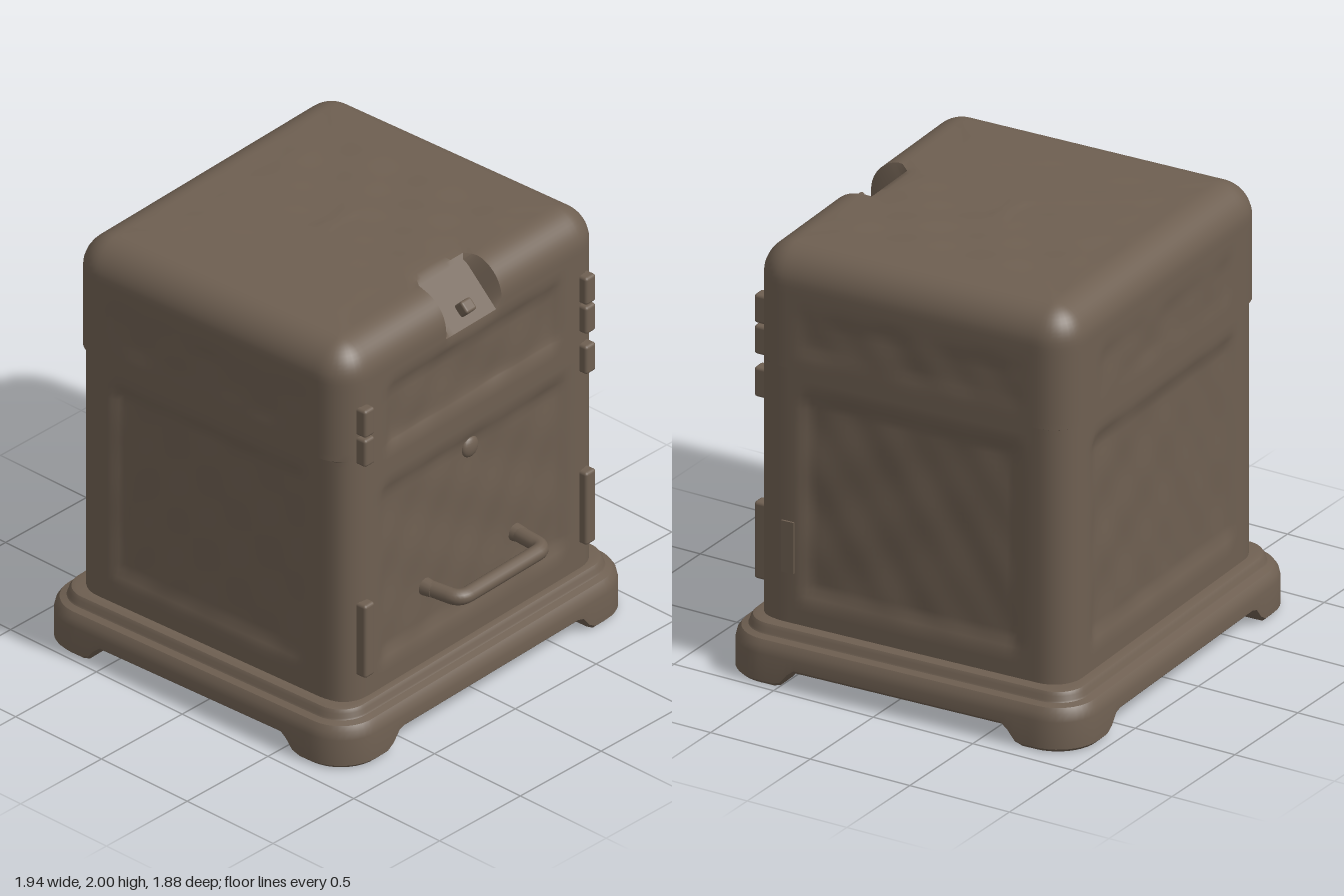
import * as THREE from 'three';
import { toCreasedNormals } from 'three/addons/utils/BufferGeometryUtils.js';
import { RoundedBoxGeometry } from 'three/addons/geometries/RoundedBoxGeometry.js';

const step = THREE.MathUtils.smoothstep;

// points and outward normals around a rounded rectangle, starting at the +x side
function outline(hx, hz, r, flat, arc) {
  const pts = [];
  const corners = [[1, 1], [-1, 1], [-1, -1], [1, -1]];
  corners.forEach(([sx, sz], k) => {
    const cx = sx * (hx - r), cz = sz * (hz - r);
    for (let i = 0; i <= arc; i++) {
      const a = (k + i / arc) * Math.PI / 2;
      const nx = Math.cos(a), nz = Math.sin(a);
      pts.push({ x: cx + r * nx, z: cz + r * nz, nx, nz });
    }
    const a = pts[pts.length - 1];
    const [tx, tz] = corners[(k + 1) % 4];
    const ex = tx * (hx - r) + r * a.nx, ez = tz * (hz - r) + r * a.nz;
    for (let i = 1; i < flat; i++) {
      const t = i / flat;
      pts.push({ x: a.x + (ex - a.x) * t, z: a.z + (ez - a.z) * t, nx: a.nx, nz: a.nz });
    }
  });
  return pts;
}

// skin rings of [inset, y]; place() may move each point
function loft(rings, hx, hz, r, flat, arc, place, capBottom) {
  const pos = [], idx = [];
  let n = 0;
  rings.forEach(([inset, y], k) => {
    const pts = outline(hx - inset, hz - inset, Math.max(r - inset, 0.02), flat, arc);
    n = pts.length;
    for (const p of pts) pos.push(...place(p, y, k));
  });
  for (let i = 0; i < rings.length - 1; i++) {
    for (let j = 0; j < n; j++) {
      const a = i * n + j, b = i * n + (j + 1) % n;
      idx.push(a, a + n, b, b, a + n, b + n);
    }
  }
  const top = (rings.length - 1) * n, c = rings.length * n;
  pos.push(0, rings[rings.length - 1][1], 0, 0, rings[0][1], 0);
  for (let j = 0; j < n; j++) {
    const m = (j + 1) % n;
    idx.push(c, top + m, top + j);
    if (capBottom) idx.push(c + 1, j, m);
  }
  const g = new THREE.BufferGeometry();
  g.setAttribute('position', new THREE.Float32BufferAttribute(pos, 3));
  g.setIndex(idx);
  return toCreasedNormals(g, 0.6);
}

// soft-edged rectangle mask
function panel(u, v, hu, v0, v1) {
  const e = 0.07;
  return step(hu - Math.abs(u), 0, e) * step(v - v0, 0, e) * step(v1 - v, 0, e);
}

// hammered unevenness
function dents(u, v) {
  return 0.5 * (Math.sin(u * 13 + v * 5) * Math.sin(v * 11 - u * 4) + Math.sin(u * 7 - v * 17 + 1) * Math.sin(u * 19 + 2));
}

export function createModel() {
  const iron = new THREE.MeshStandardMaterial({ color: 0x6e5f51 });
  iron.name = 'dark brown iron';
  const model = new THREE.Group();
  model.name = 'ironStove';
  const add = (name, geo, x = 0, y = 0, z = 0) => {
    const m = new THREE.Mesh(geo, iron);
    m.name = name;
    m.position.set(x, y, z);
    model.add(m);
    return m;
  };

  // base plinth with corner feet and arched gaps between them
  const HX = 0.945, HZ = 0.875;
  const baseRings = [[0.12, 0.08], [0.12, 0], [0.015, 0], [0, 0.015], [0, 0.14], [0.008, 0.175], [0.025, 0.198], [0.055, 0.208],
    [0.06, 0.215], [0.064, 0.235], [0.075, 0.25], [0.095, 0.256], [0.2, 0.256]];
  add('base', loft(baseRings, HX, HZ, 0.2, 40, 10, (p, y, k) => {
    const d = Math.max(HX - Math.abs(p.x), HZ - Math.abs(p.z));
    const lift = k > 0 && k < 4 ? 0.08 * step(d, 0.28, 0.37) : 0;
    return [p.x, y + lift, p.z];
  }, true));

  // body: straight walls, rounded shoulder, flat top
  const rings = [];
  for (let i = 0; i <= 34; i++) rings.push([0, 0.25 + 1.19 * i / 34]);
  rings.push([0, 1.445], [0, 1.452]);
  for (let i = 1; i <= 11; i++) rings.push([0, 1.452 + 0.378 * i / 11]);
  const R = 0.16;
  for (let i = 1; i <= 12; i++) {
    const a = i / 12 * Math.PI / 2;
    rings.push([R - R * Math.cos(a), 1.835 + R * Math.sin(a)]);
  }
  for (let i = 1; i <= 16; i++) rings.push([R + 0.58 * i / 16, 1.995 + 0.005 * Math.min(1, i / 4)]);
  add('body', loft(rings, 0.84, 0.775, 0.15, 46, 8, (p, y0) => {
    let { x, z } = p, y = y0, inset = 0;
    const front = p.nz > 0.9, back = p.nz < -0.9;
    const u = front || back ? x : z;
    if (y < 1.835 && (Math.abs(p.nx) > 0.99 || Math.abs(p.nz) > 0.99)) {
      // sunken wall panels
      const low = front ? panel(u, y, 0.62, 0.36, 1.27) : panel(u, y, back ? 0.62 : 0.56, 0.36, 1.36);
      const high = panel(u, y, 0.58, front ? 1.4 : 1.5, 1.76);
      inset += 0.02 * low + (front ? 0.02 : 0.005) * high;
      inset += 0.006 * (low + high) * dents(u + p.nx * 2, y + p.nz);
    }
    // lid overhangs the sides and back
    if (y < 1.448 && p.nz < 0.8) inset += 0.014 * step(0.8 - p.nz, 0, 0.6);
    if (y > 1.99) y -= 0.004 * (1 + dents(x, z)) * step(0.65 - Math.max(Math.abs(x), Math.abs(z)), 0, 0.15);
    x -= p.nx * inset;
    z -= p.nz * inset;
    // slanted pocket cut into the front top edge
    const s = z + y - 2.56;
    if (s > 0 && Math.abs(x) < 0.165) { z -= s / 2; y -= s / 2; }
    return [x, y, z];
  }, false));

  // catch in the pocket and boss on the door
  const catchBlock = add('lidCatch', new RoundedBoxGeometry(0.065, 0.06, 0.08, 2, 0.012), -0.005, 1.85, 0.725);
  catchBlock.rotation.x = -Math.PI / 4;
  add('doorBoss', new THREE.SphereGeometry(0.05, 20, 12), 0, 1.17, 0.75).scale.z = 0.5;

  // hinge blocks on the front corners
  const block = (side, y0, y1) => add('hinge', new RoundedBoxGeometry(0.065, y1 - y0, 0.1, 2, 0.014),
    side * 0.715, (y0 + y1) / 2, 0.765);
  for (const side of [-1, 1]) {
    block(side, 0.38, 0.74);
    block(side, 1.43, 1.565);
    block(side, 1.575, 1.71);
  }
  block(1, 1.23, 1.37);

  // thin wrap plate beside the lower hinge
  add('hingePlate', new THREE.BoxGeometry(0.02, 0.24, 0.06), 0.825, 0.61, 0.6);

  // door handle
  const path = new THREE.CurvePath();
  const v = (x, z) => new THREE.Vector3(x, 0, z);
  path.add(new THREE.LineCurve3(v(-0.295, 0.73), v(-0.28, 0.88)));
  path.add(new THREE.QuadraticBezierCurve3(v(-0.28, 0.88), v(-0.275, 0.935), v(-0.22, 0.935)));
  path.add(new THREE.LineCurve3(v(-0.22, 0.935), v(0.22, 0.935)));
  path.add(new THREE.QuadraticBezierCurve3(v(0.22, 0.935), v(0.275, 0.935), v(0.28, 0.88)));
  path.add(new THREE.LineCurve3(v(0.28, 0.88), v(0.295, 0.73)));
  add('doorHandle', new THREE.TubeGeometry(path, 80, 0.036, 14), 0, 0.61, 0);
  for (const side of [-1, 1]) {
    const foot = add('handleMount', new THREE.CylinderGeometry(0.034, 0.042, 0.06, 14), side * 0.292, 0.61, 0.775);
    foot.rotation.x = Math.PI / 2;
  }

  // the whole stove stands slightly turned
  model.rotation.y = 0.04;
  model.position.z = -0.045;
  const root = new THREE.Group();
  root.name = 'stove';
  root.add(model);
  return root;
}
